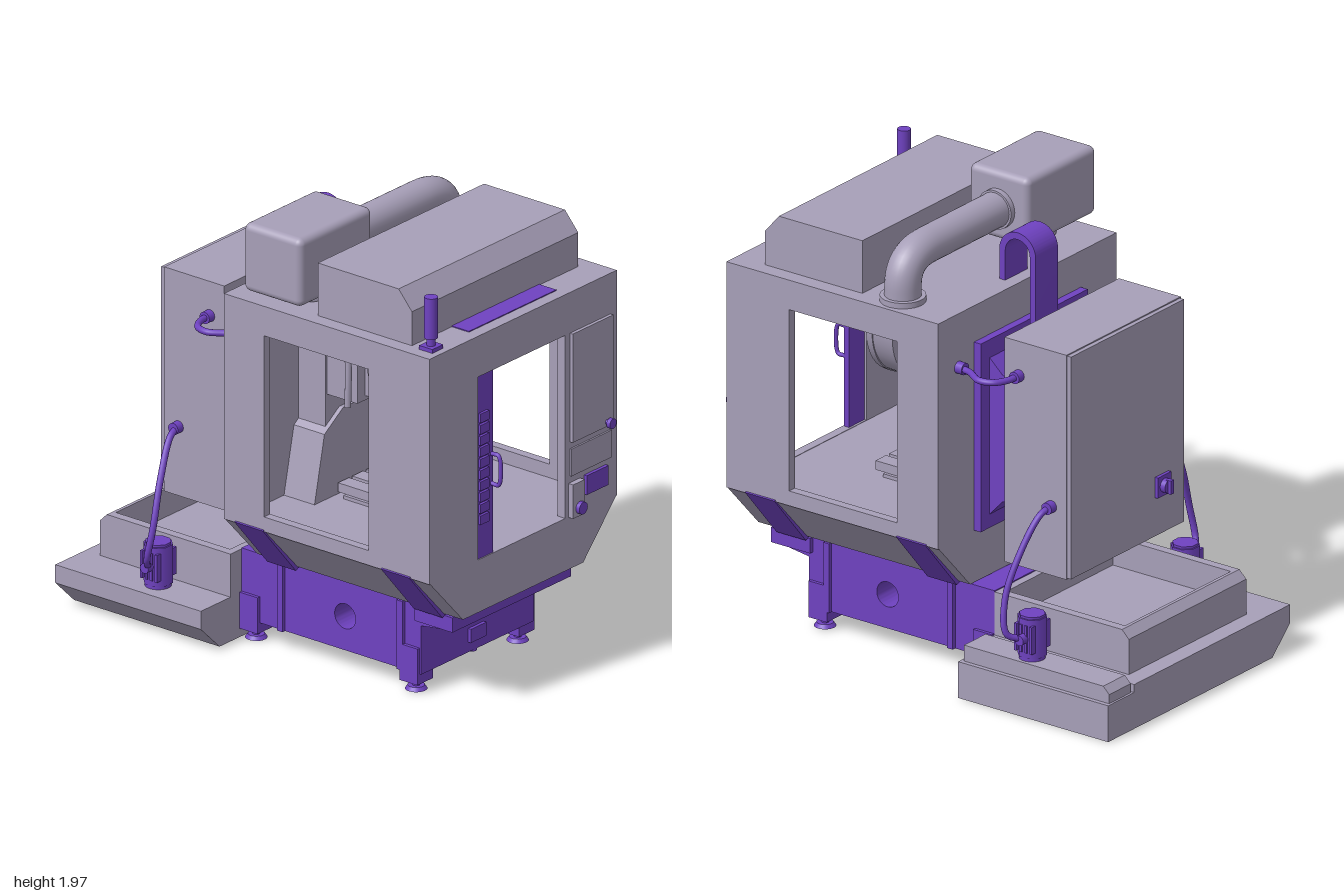
import * as THREE from 'three';
import { RoundedBoxGeometry } from 'three/addons/geometries/RoundedBoxGeometry.js';
import { toCreasedNormals } from 'three/addons/utils/BufferGeometryUtils.js';

const grey = new THREE.MeshStandardMaterial({ color: 0xa79fb8, side: THREE.DoubleSide });
const purple = new THREE.MeshStandardMaterial({ color: 0x6f42c1, side: THREE.DoubleSide });

export function createModel() {
  const model = new THREE.Group();
  const add = (name, geo, mat = grey) => {
    const m = new THREE.Mesh(geo, mat);
    m.name = name;
    model.add(m);
    return m;
  };
  // box from its limits on each axis
  const box = (name, x0, x1, y0, y1, z0, z1, mat) => {
    const m = add(name, new THREE.BoxGeometry(x1 - x0, y1 - y0, z1 - z0), mat);
    m.position.set((x0 + x1) / 2, (y0 + y1) / 2, (z0 + z1) / 2);
    return m;
  };
  const poly = (pts) => new THREE.Shape(pts.map(([a, b]) => new THREE.Vector2(a, b)));
  const rect = (a0, a1, b0, b1) => poly([[a0, b0], [a1, b0], [a1, b1], [a0, b1]]);
  const withHole = (shape, hole) => { shape.holes.push(hole); return shape; };
  const extrude = (shape, depth) => toCreasedNormals(
    new THREE.ExtrudeGeometry(shape, { depth, bevelEnabled: false, curveSegments: 24 }), 0.5);
  // shape in (x, y) swept along z, and shape in (z, y) swept along x
  const alongZ = (name, shape, z0, z1, mat) => add(name, extrude(shape, z1 - z0).translate(0, 0, z0), mat);
  const alongX = (name, shape, x0, x1, mat) =>
    add(name, extrude(shape, x1 - x0).rotateY(-Math.PI / 2).translate(x1, 0, 0), mat);
  // cylinder centred at x, y, z on the given axis
  const cyl = (name, r, h, x, y, z, mat, axis = 'y', sides = 32, rTop = r) => {
    const m = add(name, new THREE.CylinderGeometry(rTop, r, h, sides), mat);
    if (axis === 'x') m.rotation.z = -Math.PI / 2;
    if (axis === 'z') m.rotation.x = Math.PI / 2;
    m.position.set(x, y, z);
    return m;
  };
  const hose = (name, pts, r, mat) => add(name, new THREE.TubeGeometry(
    new THREE.CatmullRomCurve3(pts.map((p) => new THREE.Vector3(...p))), 40, r, 12), mat);

  // coolant tank with sloped front, raised open tray and rear ledge
  alongX('coolantTank', poly([[0.62, 0.195], [0.62, 0.115], [0.5, 0], [-0.605, 0], [-0.605, 0.16],
    [-0.43, 0.16], [-0.43, 0.195]]), -1, -0.235);
  alongZ('rearLedge', poly([[-0.99, 0.16], [-0.99, 0.2], [-0.96, 0.23], [-0.25, 0.23], [-0.25, 0.16]]), -0.585, -0.44);
  box('trayFloor', -0.9, -0.25, 0.19, 0.26, -0.34, 0.4);
  for (const [z0, z1] of [[-0.36, -0.32], [0.39, 0.43]])
    alongZ('traySide', poly([[-0.92, 0.19], [-0.92, 0.35], [-0.885, 0.385], [-0.235, 0.385], [-0.235, 0.19]]), z0, z1);
  alongZ('trayEnd', poly([[-0.92, 0.19], [-0.92, 0.35], [-0.885, 0.385], [-0.87, 0.385], [-0.87, 0.19]]), -0.33, 0.4);
  box('trayInnerEnd', -0.27, -0.235, 0.19, 0.385, -0.33, 0.4);

  // machine base with through hole and outlet lip
  const hole = new THREE.Path().absarc(0.31, 0.235, 0.055, 0, Math.PI * 2, true);
  alongZ('base', withHole(poly([[-0.235, 0.085], [0.71, 0.085], [0.71, 0.3], [0.89, 0.325],
    [0.89, 0.39], [-0.235, 0.39]]), hole), -0.36, 0.36, purple);
  box('baseLip', 0.69, 0.89, 0.325, 0.39, -0.38, 0.38, purple);
  box('drainBox', 0.7, 0.725, 0.13, 0.19, -0.04, 0.06, purple);
  cyl('drainNub', 0.02, 0.03, 0.69, 0.09, 0.01, purple);
  for (const s of [-1, 1]) {
    for (const x of [-0.02, 0.61]) box('baseRib', x - 0.015, x + 0.015, 0.085, 0.39, s * 0.365 - 0.012, s * 0.365 + 0.012, purple);
    for (const x of [-0.185, 0.655]) {
      box('leg', x - 0.047, x + 0.047, 0.04, 0.2, s * 0.325 - 0.05, s * 0.325 + 0.05, purple);
      cyl('footScrew', 0.016, 0.06, x, 0.035, s * 0.325, purple, 'y', 16);
      cyl('footPad', 0.046, 0.016, x, 0.008, s * 0.325, purple, 'y', 24, 0.035);
    }
  }

  // enclosure: tapered sump, walls with windows, roof
  alongX('sump', poly([[0.6, 0.63], [0.385, 0.4], [-0.385, 0.4], [-0.6, 0.63]]), -0.13, 0.95);
  for (const s of [-1, 1]) {
    const z = s * 0.58;
    alongZ(s > 0 ? 'frontWall' : 'backWall',
      withHole(rect(-0.13, 0.95, 0.625, 1.62), rect(0.08, 0.63, 0.69, 1.49)), z - 0.02, z + 0.02);
    for (const x of [-0.07, 0.7])
      alongX('slopeStrap', poly([[s * 0.607, 0.63], [s * 0.395, 0.385], [s * 0.36, 0.4], [s * 0.58, 0.64]]),
        x, x + 0.15, purple);
  }
  alongX('doorWall', withHole(rect(-0.6, 0.6, 0.625, 1.62), rect(-0.27, 0.29, 0.632, 1.44)), 0.91, 0.95);
  box('columnWall', -0.13, -0.09, 0.625, 1.62, -0.6, 0.6);
  box('roof', -0.13, 0.95, 1.58, 1.62, -0.6, 0.6);
  box('roofStrip', 0.805, 0.895, 1.615, 1.624, -0.28, 0.28, purple);

  // side door: purple edge panel, key column, handle
  box('doorPanel', 0.92, 0.945, 0.632, 1.44, 0.185, 0.29, purple);
  for (let i = 0; i < 10; i++) box('doorKey', 0.94, 0.957, 0.785 + i * 0.05, 0.825 + i * 0.05, 0.225, 0.28, purple);
  hose('doorHandle', [[0.94, 0.94, 0.195], [0.98, 0.94, 0.195], [0.99, 0.96, 0.195], [0.99, 1.05, 0.195],
    [0.98, 1.07, 0.195], [0.94, 1.07, 0.195]], 0.009, purple);

  // control panels
  box('controlDoor', 0.94, 0.965, 0.96, 1.44, -0.56, -0.3);
  box('controlShelf', 0.94, 0.958, 0.81, 0.93, -0.56, -0.3);
  box('controlScreen', 0.94, 0.965, 0.7, 0.785, -0.53, -0.39, purple);
  box('switchBox', 0.94, 0.975, 0.63, 0.78, -0.365, -0.29);
  for (const [y, z, r] of [[0.98, -0.52, 0.022], [0.67, -0.33, 0.027]]) {
    cyl('knobStem', r * 0.5, 0.05, 0.965, y, z, purple, 'x', 20);
    cyl('knob', r, 0.018, 0.988, y, z, purple, 'x', 24);
  }

  // interior: column, spindle head, tool drum, table
  box('column', -0.1, 0.05, 0.6, 1.46, -0.17, 0.17);
  alongX('columnFoot', poly([[-0.27, 0.6], [-0.2, 0.92], [-0.08, 1], [0.08, 1], [0.2, 0.92], [0.27, 0.6]]), -0.1, 0.07);
  box('headSlide', 0.04, 0.21, 1.08, 1.46, -0.16, 0.16);
  box('spindleHead', 0.18, 0.36, 1.1, 1.4, -0.11, 0.11);
  cyl('spindleNose', 0.045, 0.05, 0.27, 1.08, 0);
  cyl('toolHolder', 0.025, 0.05, 0.27, 1.05, 0, grey, 'y', 20);
  const drum = new THREE.Group();
  drum.name = 'toolDrum';
  drum.add(cyl('drumBody', 0.275, 0.1, -0.02, 0, 0, grey, 'x', 48),
    cyl('drumRim', 0.28, 0.03, 0.045, 0, 0, grey, 'x', 48),
    cyl('drumHub', 0.07, 0.05, -0.08, 0, 0, grey, 'x', 24));
  drum.position.set(0.42, 1.35, 0);
  drum.rotation.z = 0.06;
  model.add(drum);
  hose('coolantPipe', [[0, 1.385, 0.3], [0.2, 1.39, 0.3], [0.26, 1.38, 0.3], [0.275, 1.34, 0.3], [0.275, 1.13, 0.3]], 0.014);
  box('saddle', 0.12, 0.5, 0.62, 0.645, -0.14, 0.14);
  for (const z of [-0.09, 0, 0.09]) box('tableRail', 0.08, 0.55, 0.645, 0.685, z - 0.035, z + 0.035);

  // purple rear bracket carrying the electrical cabinet
  alongZ('cabinetBracket', poly([[-0.31, 0.78], [-0.31, 1.3], [-0.23, 1.32], [-0.165, 1.38], [-0.165, 1.46],
    [-0.13, 1.46], [-0.13, 0.63], [-0.165, 0.63], [-0.165, 0.69], [-0.23, 0.76]]), -0.3, 0.3, purple);
  box('bracketFlange', -0.165, -0.13, 0.63, 1.46, -0.36, 0.36, purple);
  box('cabinet', -0.62, -0.305, 0.545, 1.535, -0.385, 0.385);
  box('cabinetDoor', -0.64, -0.615, 0.55, 1.53, -0.38, 0.38);
  box('switchPlate', -0.655, -0.635, 0.72, 0.81, 0.185, 0.275, purple);
  cyl('mainSwitch', 0.03, 0.03, -0.665, 0.765, 0.23, purple, 'x', 24);
  box('switchLever', -0.695, -0.67, 0.735, 0.795, 0.22, 0.24, purple);

  // pumps and hoses, mirrored front and back
  for (const s of [-1, 1]) {
    const y = s > 0 ? 0.195 : 0.23, x = -0.545, z = s * 0.515;
    cyl('pumpBase', 0.055, 0.03, x, y + 0.015, z, purple, 'y', 24);
    cyl('pumpBody', 0.062, 0.17, x, y + 0.1, z, purple, 'y', 8).rotation.y = Math.PI / 8;
    cyl('pumpCap', 0.055, 0.02, x, y + 0.185, z, purple, 'y', 8).rotation.y = Math.PI / 8;
    for (let i = 0; i < 4; i++) box('pumpFin', x - 0.045 + i * 0.026, x - 0.033 + i * 0.026, y + 0.04, y + 0.16, z - 0.063, z + 0.063, purple);
    cyl('hoseGland', 0.026, 0.04, x, 0.85, s * 0.4, purple, 'z', 16);
    cyl('pumpGland', 0.022, 0.04, x, y + 0.1, s * 0.585, purple, 'z', 16);
    hose('pumpHose', [[x, 0.85, s * 0.39], [-0.535, 0.83, s * 0.45], [-0.505, 0.68, s * 0.55], [-0.485, 0.5, s * 0.62],
      [-0.505, 0.36, s * 0.635], [x, y + 0.1, s * 0.58]], 0.014, purple);
    cyl('cabinetGland', 0.026, 0.04, -0.38, 1.385, s * 0.4, purple, 'z', 16);
    cyl('wallGland', 0.026, 0.04, -0.145, 1.385, s * 0.465, purple, 'x', 16);
    hose('signalHose', [[-0.38, 1.385, s * 0.39], [-0.375, 1.385, s * 0.45], [-0.34, 1.385, s * 0.51], [-0.28, 1.385, s * 0.525],
      [-0.2, 1.385, s * 0.48], [-0.13, 1.385, s * 0.465]], 0.014, purple);
  }

  // arched cable chain
  const chain = new THREE.Shape();
  chain.moveTo(-0.225, 1.3).lineTo(-0.225, 1.7525);
  chain.absarc(-0.1325, 1.7525, 0.0925, Math.PI, 0, true);
  chain.lineTo(-0.04, 1.6).lineTo(-0.07, 1.6).lineTo(-0.07, 1.7525);
  chain.absarc(-0.1325, 1.7525, 0.0625, 0, Math.PI, false);
  chain.lineTo(-0.195, 1.3);
  alongZ('cableChain', chain, -0.07, 0.08, purple);

  // mist extractor box, pedestal and duct
  const extractor = add('mistExtractor', new RoundedBoxGeometry(0.305, 0.3, 0.465, 4, 0.03));
  extractor.position.set(0.137, 1.82, 0.388);
  cyl('extractorNeck', 0.07, 0.06, 0.137, 1.65, 0.39);
  cyl('extractorFlange', 0.095, 0.02, 0.137, 1.635, 0.39);
  const duct = new THREE.CurvePath();
  const v = (y, z) => new THREE.Vector3(0.137, y, z);
  duct.add(new THREE.LineCurve3(v(1.81, 0.17), v(1.81, -0.32)));
  duct.add(new THREE.CubicBezierCurve3(v(1.81, -0.32), v(1.81, -0.42), v(1.78, -0.485), v(1.68, -0.485)));
  duct.add(new THREE.LineCurve3(v(1.68, -0.485), v(1.62, -0.485)));
  add('duct', new THREE.TubeGeometry(duct, 60, 0.076, 28));
  cyl('ductFlange', 0.095, 0.025, 0.137, 1.632, -0.485);
  cyl('ductCollar', 0.085, 0.03, 0.137, 1.81, 0.145, grey, 'z');

  // roof hood and signal lamp
  alongZ('roofHood', poly([[0.31, 1.62], [0.31, 1.852], [0.735, 1.852], [0.805, 1.77], [0.805, 1.62]]), -0.53, 0.535);
  box('lampBase', 0.85, 0.92, 1.62, 1.637, 0.475, 0.545, purple);
  cyl('lampNeck', 0.018, 0.04, 0.885, 1.655, 0.51, purple, 'y', 16);
  cyl('signalLamp', 0.028, 0.18, 0.885, 1.76, 0.51, purple);
  return model;
}
